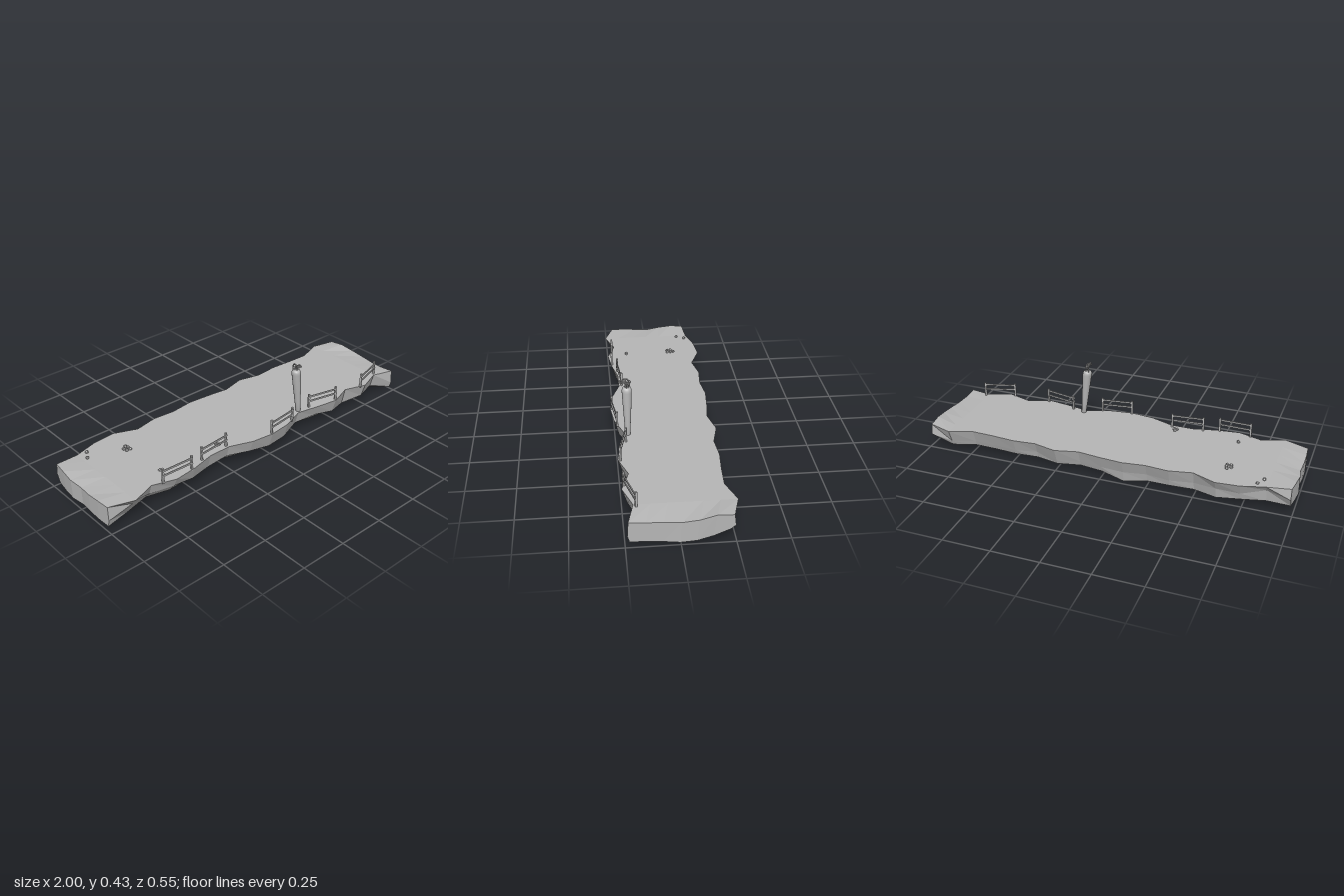
import * as THREE from 'three';

const stone = new THREE.MeshStandardMaterial({ color: 0xb6b6b6, flatShading: true });
stone.name = 'plain grey';
const smoothStone = new THREE.MeshStandardMaterial({ color: 0xb6b6b6 });
smoothStone.name = 'plain grey smooth';

// Outline of the slab at evenly spaced stations from -x to +x
const BACK = [-0.225, -0.235, -0.27, -0.28, -0.23, -0.255, -0.245, -0.26, -0.25, -0.235, -0.265, -0.235, -0.245, -0.235, -0.23, -0.275, -0.24];
const FRONT = [0.215, 0.26, 0.215, 0.255, 0.24, 0.21, 0.21, 0.255, 0.27, 0.255, 0.21, 0.235, 0.255, 0.21, 0.25, 0.205, 0.235];
// Height of the ridge where the sides turn under, and of the underside's back edge
const RIDGE = [0.025, 0.10, 0.072, 0.08, 0.057, 0.055, 0.065, 0.06, 0.045, 0.045, 0.06, 0.07, 0.052, 0.036, 0.055, 0.055, 0.022];
const KEEL = [0.03, 0.033, 0.033, 0.022, 0.015, 0.025, 0.02, 0, 0.03, 0.033, 0.033, 0.033, 0.033, 0.033, 0.033, 0.033, 0.06];
// End profiles, back to front: deck height, underside height, bulge
const ENDS = {
  0: { deck: [0.14, 0.14, 0.13, 0.122, 0.124, 0.13, 0.13], under: [0.035, 0.032, 0.028, 0.026, 0.026, 0.022, 0.018], x: [-0.985, -0.995, -1, -0.99, -0.995, -0.995, -0.99] },
  16: { deck: [0.137, 0.144, 0.13, 0.122, 0.12, 0.121, 0.127], under: [0.06, 0.032, 0.018, 0.013, 0.015, 0.017, 0.02], x: [0.985, 0.99, 1, 1, 0.99, 0.985, 0.985] },
};

function slabGeometry() {
  const pos = [], idx = [], N = 16, S = BACK.length;
  for (let i = 0; i < S; i++) {
    const x = -0.985 + (1.97 * i) / (S - 1), end = ENDS[i], b = BACK[i], f = FRONT[i];
    const frontLow = end ? 0.98 : 0.75, backLow = end ? 0.93 : 0.86;
    for (let k = 0; k <= 6; k++) {
      pos.push(end ? end.x[k] : x, end ? end.deck[k] : 0.132, b + ((f - b) * k) / 6);
    }
    pos.push(end ? end.x[6] : x, RIDGE[i] + (end ? 0.03 : 0), f * (end ? 1.02 : 0.9));
    for (let k = 6; k >= 0; k--) {
      const y = end ? end.under[k] : KEEL[i] + ((0.034 - KEEL[i]) * k) / 6;
      pos.push(end ? end.x[k] : x, y, b * backLow + ((f * frontLow - b * backLow) * k) / 6);
    }
    pos.push(end ? end.x[0] : x, Math.max(0.06, RIDGE[i]) + (end ? 0.02 : 0), b * (end ? 1.03 : 0.9));
  }
  // Skin between stations
  for (let i = 0; i < S - 1; i++) {
    for (let j = 0; j < N; j++) {
      const a = i * N + j, c = i * N + ((j + 1) % N);
      idx.push(a, c, c + N, a, c + N, a + N);
    }
  }
  // End faces
  for (const i of [0, S - 1]) {
    const tri = (a, b, c) => (i ? idx.push(i * N + a, i * N + b, i * N + c) : idx.push(a, c, b));
    for (let k = 0; k < 6; k++) {
      tri(k, k + 1, 13 - k);
      tri(k, 13 - k, 14 - k);
    }
    tri(6, 7, 8);
    tri(14, 15, 0);
  }
  const g = new THREE.BufferGeometry();
  g.setAttribute('position', new THREE.Float32BufferAttribute(pos, 3));
  g.setIndex(idx);
  const flat = g.toNonIndexed();
  flat.computeVertexNormals();
  return flat;
}

function addMesh(parent, name, geometry, material = stone) {
  const m = new THREE.Mesh(geometry, material);
  m.name = name;
  parent.add(m);
  return m;
}

// Two posts and two rails running between two deck points
function fence(x0, z0, x1, z1) {
  const g = new THREE.Group();
  g.name = 'fence';
  const len = Math.hypot(x1 - x0, z1 - z0);
  for (const s of [-1, 1]) {
    addMesh(g, 'fencePost', new THREE.BoxGeometry(0.01, 0.085, 0.01)).position.set(s * (len / 2 - 0.005), 0.168, 0);
  }
  for (const y of [0.17, 0.197]) {
    addMesh(g, 'fenceRail', new THREE.BoxGeometry(len, 0.009, 0.005)).position.set(0, y, 0.004);
  }
  g.position.set((x0 + x1) / 2, 0, (z0 + z1) / 2);
  g.rotation.y = -Math.atan2(z1 - z0, x1 - x0);
  return g;
}

// Leaning tapered column with a tuft of bent stalks
function column() {
  const g = new THREE.Group();
  g.name = 'taperedColumn';
  const profile = [[0, 0], [0.013, 0], [0.016, 0.06], [0.021, 0.15], [0.025, 0.235], [0.025, 0.247], [0.021, 0.257], [0.012, 0.261], [0, 0.261]];
  const geo = new THREE.LatheGeometry(profile.map(([r, y]) => new THREE.Vector2(r, y)), 16);
  // Lean towards -x with height
  const p = geo.attributes.position;
  for (let i = 0; i < p.count; i++) p.setX(i, p.getX(i) - p.getY(i) * 0.1);
  geo.computeVertexNormals();
  addMesh(g, 'columnBody', geo, smoothStone);
  for (let i = 0; i < 5; i++) {
    const x = -0.026 + (i - 2) * 0.005, z = -0.013 + ((i * 2) % 5) * 0.005;
    const h = 0.303 - ((i * 3) % 5) * 0.003;
    const curve = new THREE.CatmullRomCurve3([
      new THREE.Vector3(x, 0.255, z),
      new THREE.Vector3(x, 0.28, z),
      new THREE.Vector3(x - 0.002, h - 0.006, z + 0.008),
      new THREE.Vector3(x - 0.004, h - 0.004, z + 0.024),
      new THREE.Vector3(x - 0.005, h - 0.01, z + 0.034),
    ]);
    addMesh(g, 'stalk', new THREE.TubeGeometry(curve, 8, 0.0035, 6, false), smoothStone);
  }
  g.position.set(0.262, 0.13, 0.191);
  return g;
}

export function createModel() {
  const model = new THREE.Group();
  model.name = 'ruggedPlatform';
  addMesh(model, 'slab', slabGeometry());

  const fences = [
    [-0.685, 0.23, -0.505, 0.236], [-0.43, 0.21, -0.25, 0.194], [-0.005, 0.262, 0.172, 0.24],
    [0.325, 0.203, 0.503, 0.243], [0.705, 0.24, 0.88, 0.19],
  ];
  for (const f of fences) model.add(fence(...f));

  model.add(column());

  // Pebbles on the deck
  const pebbles = [
    [-0.66, -0.12], [-0.64, -0.135], [-0.655, -0.1], [-0.635, -0.1], [-0.635, -0.118],
    [-0.635, 0.145], [-0.29, 0.165], [-0.275, 0.165], [-0.283, 0.15], [-0.84, -0.175], [-0.815, -0.22],
  ];
  pebbles.forEach(([x, z], i) => {
    const m = addMesh(model, 'pebble', new THREE.DodecahedronGeometry(0.009));
    m.position.set(x, 0.137, z);
    m.rotation.set(i, i * 1.7, 0);
  });
  return model;
}
